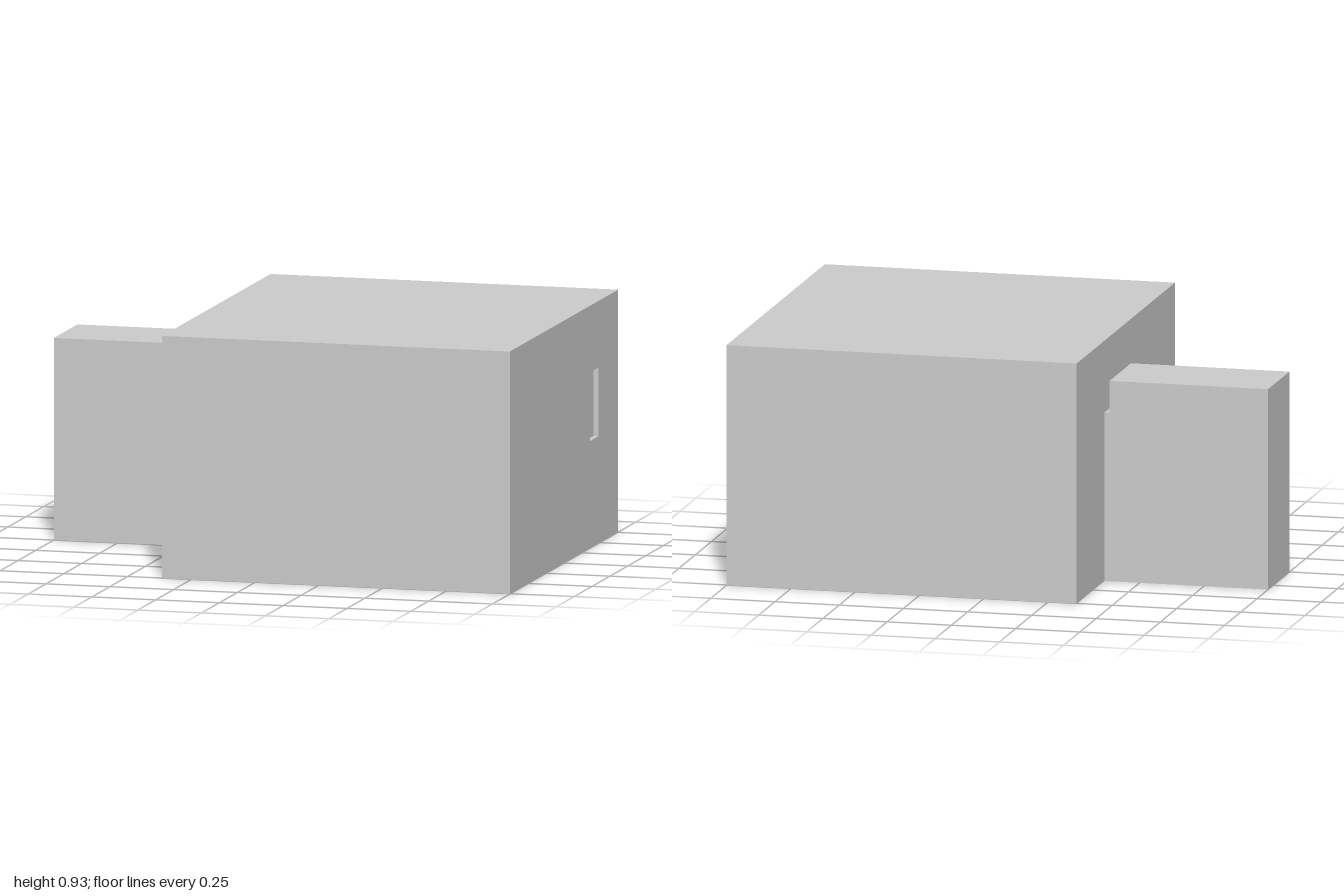
import * as THREE from 'three';

const material = new THREE.MeshStandardMaterial({ color: 0xcccccc, side: THREE.DoubleSide, flatShading: true });

// Rectangles lie across x: z and y ranges
const ROOM = { z0: -0.757, z1: 0.757, y0: 0, y1: 0.927 };
const ANNEX = { z0: -0.33, z1: 0, y0: 0, y1: 0.773 };
const DOOR = { ...ANNEX, y1: 0.65 };
const RIGHT_WINDOW = { z0: -0.484, z1: -0.366, y0: 0.41, y1: 0.673 };
const LEFT_WINDOW = { z0: 0.17, z1: 0.315, y0: 0.41, y1: 0.673 };
const ROOM_LEFT = -0.363, ROOM_RIGHT = 1, ANNEX_INNER = -0.383, ANNEX_END = -1;
const REVEAL = 0.02;

function mesh(name, geometry) {
  const m = new THREE.Mesh(geometry, material);
  m.name = name;
  return m;
}

// Four sides of a box running along x, open at both ends
function sleeve(name, r, xa, xb) {
  const g = new THREE.BoxGeometry(xb - xa, r.y1 - r.y0, r.z1 - r.z0);
  g.setIndex(Array.from(g.index.array).slice(12));
  g.clearGroups();
  g.translate((xa + xb) / 2, (r.y0 + r.y1) / 2, (r.z0 + r.z1) / 2);
  return mesh(name, g);
}

// Flat wall facing +x (dir 1) or -x (dir -1), with optional window and doorway
function wall(name, r, x, dir, { window, door } = {}) {
  const point = (z, y) => new THREE.Vector2(-dir * z, y);
  const outline = [point(r.z0, r.y0)];
  if (door) {
    outline.push(point(door.z0, door.y0), point(door.z0, door.y1),
      point(door.z1, door.y1), point(door.z1, door.y0));
  }
  outline.push(point(r.z1, r.y0), point(r.z1, r.y1), point(r.z0, r.y1));
  const shape = new THREE.Shape(outline);
  if (window) {
    const { z0, z1, y0, y1 } = window;
    shape.holes.push(new THREE.Path([point(z0, y0), point(z0, y1), point(z1, y1), point(z1, y0)]));
  }
  const g = new THREE.ShapeGeometry(shape);
  g.rotateY(dir * Math.PI / 2);
  g.translate(x, 0, 0);
  return mesh(name, g);
}

// Shallow recess: reveal and pane set back from the wall
function recess(name, r, x, dir) {
  const group = new THREE.Group();
  group.name = name;
  const back = x - dir * REVEAL;
  group.add(sleeve('windowReveal', r, Math.min(x, back), Math.max(x, back)));
  group.add(wall('windowPane', r, back, dir));
  return group;
}

export function createModel() {
  const model = new THREE.Group();
  model.name = 'building';

  // Main room
  model.add(sleeve('roomShell', ROOM, ROOM_LEFT, ROOM_RIGHT));
  model.add(wall('roomWindowWall', ROOM, ROOM_RIGHT, 1, { window: RIGHT_WINDOW }));
  model.add(wall('roomDoorWall', ROOM, ROOM_LEFT, -1, { window: LEFT_WINDOW, door: DOOR }));
  model.add(recess('rightWindow', RIGHT_WINDOW, ROOM_RIGHT, 1));
  model.add(recess('leftWindow', LEFT_WINDOW, ROOM_LEFT, -1));

  // Doorway joining the annex to the room
  model.add(sleeve('doorway', DOOR, ANNEX_INNER, ROOM_LEFT));

  // Annex with the wall strip above its doorway
  model.add(sleeve('annexShell', ANNEX, ANNEX_END, ANNEX_INNER));
  model.add(wall('annexEndWall', ANNEX, ANNEX_END, -1));
  model.add(wall('annexLintel', { ...ANNEX, y0: DOOR.y1 }, ANNEX_INNER, 1));

  return model;
}
